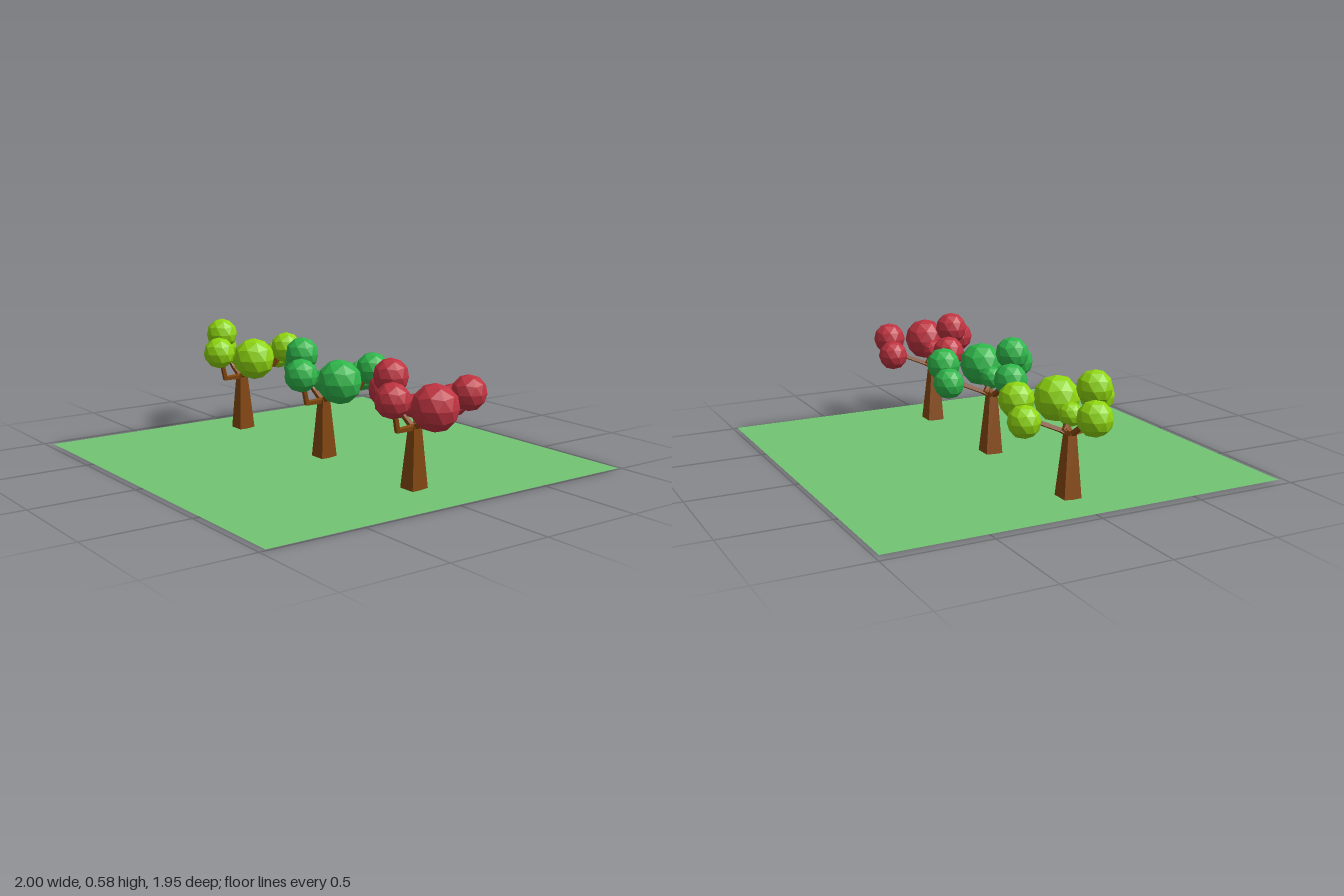
import * as THREE from 'three';
import { mergeGeometries } from 'three/addons/utils/BufferGeometryUtils.js';

const paint = (color, side = THREE.FrontSide) => new THREE.MeshStandardMaterial({ color, side, flatShading: true });

// Foliage balls: name, centre, radius
const BALLS = [
  ['sideFoliage', [-0.185, 0.41, 0.0], 0.08],
  ['upperFoliage', [-0.05, 0.502, 0.08], 0.08],
  ['frontFoliage', [0.08, 0.428, 0.175], 0.08],
  ['largeFoliage', [0.2, 0.402, 0.042], 0.106],
  ['backFoliage', [0.16, 0.432, -0.182], 0.081],
  ['lowBackFoliage', [0.022, 0.373, -0.22], 0.074],
  ['innerFoliage', [0.027, 0.375, 0.01], 0.055],
];

// Branch paths, from the fork of the trunk out to the foliage
const BRANCHES = [
  [[0.04, 0.275, 0.02], [-0.02, 0.325, 0.03], [-0.055, 0.387, 0.045], [-0.05, 0.5, 0.08]],
  [[-0.052, 0.39, 0.045], [-0.185, 0.395, 0.0]],
  [[0.04, 0.285, 0.02], [0.06, 0.287, 0.13], [0.08, 0.42, 0.17]],
  [[0.04, 0.28, 0.02], [0.1, 0.315, 0.03], [0.2, 0.4, 0.04]],
  [[0.04, 0.28, 0.02], [0.07, 0.3, -0.02], [0.125, 0.345, -0.13], [0.16, 0.43, -0.18]],
  [[0.125, 0.345, -0.13], [0.022, 0.37, -0.22]],
  [[0.04, 0.275, 0.02], [0.0, 0.32, -0.035], [0.027, 0.375, 0.01]],
];

// Square-section stick between two points, slightly overlapping its neighbours
function stick(from, to, r0, r1) {
  const a = new THREE.Vector3(...from), b = new THREE.Vector3(...to);
  const dir = b.clone().sub(a), len = dir.length();
  const turn = new THREE.Quaternion().setFromUnitVectors(new THREE.Vector3(0, 1, 0), dir.normalize());
  const mid = a.add(b).multiplyScalar(0.5);
  return new THREE.CylinderGeometry(r1, r0, len + 0.012, 4).rotateY(Math.PI / 4)
    .applyQuaternion(turn).translate(mid.x, mid.y, mid.z);
}

function branchGeometry() {
  const parts = [];
  for (const path of BRANCHES) {
    for (let i = 0; i < path.length - 1; i++) {
      parts.push(stick(path[i], path[i + 1], i === 0 ? 0.016 : 0.013, 0.012));
    }
  }
  return mergeGeometries(parts);
}

// Tapered, leaning square trunk with a slightly tilted foot
function trunkGeometry() {
  const g = new THREE.BoxGeometry(1, 1, 1);
  const p = g.attributes.position;
  for (let i = 0; i < p.count; i++) {
    const top = p.getY(i) > 0, width = top ? 0.042 : 0.086;
    const z = p.getZ(i);
    p.setXYZ(i,
      p.getX(i) * width + (top ? 0.042 : 0.023),
      top ? 0.292 : (z > 0 ? 0 : 0.008),
      z * width + (top ? 0.018 : 0.002));
  }
  g.computeVertexNormals();
  return g;
}

export function createModel() {
  const model = new THREE.Group();
  model.name = 'treesOnLawn';

  // Lawn
  const lawn = new THREE.Mesh(new THREE.PlaneGeometry(1.95, 1.95).rotateX(-Math.PI / 2), paint(0x72c472, THREE.DoubleSide));
  lawn.name = 'lawn';
  lawn.position.set(0.022, 0.004, -0.005);
  model.add(lawn);

  const bark = paint(0x85480f);
  const trunkShape = trunkGeometry(), branchShape = branchGeometry();
  // Faceted ball with a corner pointing up
  const ball = new THREE.IcosahedronGeometry(1, 1).rotateX(-Math.atan((1 + Math.sqrt(5)) / 2));

  // Three identical trees in different leaf colours
  const trees = [['limeTree', -0.737, 0x8fd610], ['greenTree', 0, 0x2fb64a], ['redTree', 0.674, 0xbe3340]];
  for (const [name, x, color] of trees) {
    const tree = new THREE.Group();
    tree.name = name;
    tree.position.x = x;
    const trunk = new THREE.Mesh(trunkShape, bark);
    trunk.name = 'trunk';
    const branches = new THREE.Mesh(branchShape, bark);
    branches.name = 'branches';
    tree.add(trunk, branches);
    const leaf = paint(color);
    for (const [part, centre, radius] of BALLS) {
      const foliage = new THREE.Mesh(ball, leaf);
      foliage.name = part;
      foliage.position.set(...centre);
      foliage.scale.setScalar(radius);
      tree.add(foliage);
    }
    model.add(tree);
  }
  return model;
}
